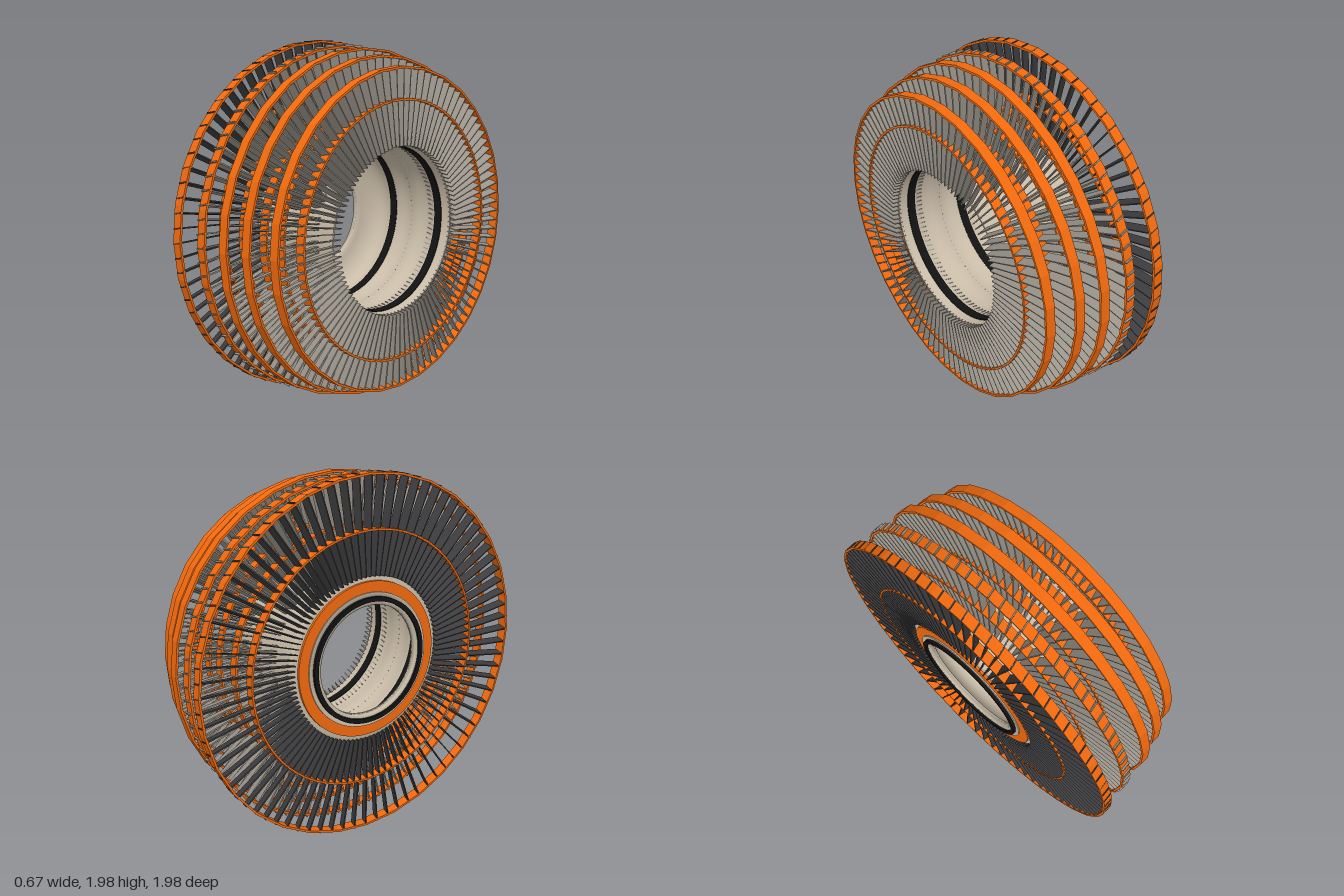
import * as THREE from 'three';
import { mergeGeometries } from 'three/addons/utils/BufferGeometryUtils.js';

const ORANGE = 0xf26a0e, BEIGE = 0xc9bca8, BLACK = 0x121212, GREY = 0x9a948a, DARK = 0x3c3c3e;

const paint = (color, flatShading = false) =>
  new THREE.MeshStandardMaterial({ color, flatShading, side: THREE.DoubleSide });

// Surface of revolution about the x axis; points are [radius, x]
function turned(points, segments) {
  const g = new THREE.LatheGeometry(points.map(p => new THREE.Vector2(p[0], p[1])), segments);
  return g.rotateZ(-Math.PI / 2);
}

// Rectangular-section ring between two radii and two x positions
const band = (ro, ri, x0, x1, segments) =>
  turned([[ro, x0], [ro, x1], [ri, x1], [ri, x0], [ro, x0]], segments);

// Evenly spaced, pitched blades reaching from radius r0 to r1
function bladeRow(x, r0, r1, count, chord, thickness, pitch) {
  const blades = [];
  for (let i = 0; i < count; i++) {
    const g = new THREE.BoxGeometry(chord, r1 - r0, thickness);
    g.rotateY(pitch);
    g.translate(x, (r0 + r1) / 2, 0);
    g.rotateX((i / count) * Math.PI * 2);
    blades.push(g);
  }
  return mergeGeometries(blades);
}

export function createModel() {
  const model = new THREE.Group();
  const rotor = new THREE.Group();
  rotor.name = 'rotor';
  rotor.position.y = 1;
  model.add(rotor);

  const add = (parent, name, geometry, material) => {
    const mesh = new THREE.Mesh(geometry, material);
    mesh.name = name;
    parent.add(mesh);
  };

  const orange = paint(ORANGE, true), beige = paint(BEIGE), black = paint(BLACK, true);
  const grey = paint(GREY, true), dark = paint(DARK, true);

  // Five blade stages: x centre, rim radius, blade tip radius, outer blade count
  const stages = [
    [-0.297, 0.99, 0.99, 80],
    [-0.13, 0.965, 0.972, 84],
    [0.033, 0.957, 0.945, 88],
    [0.163, 0.922, 0.91, 92],
    [0.307, 0.87, 0.858, 96],
  ];
  stages.forEach(([x, rim, tip, count], i) => {
    const stage = new THREE.Group();
    stage.name = 'stage' + (i + 1);
    rotor.add(stage);
    const steel = i === 0 ? dark : grey;
    add(stage, 'innerBlades', bladeRow(x, 0.455, 0.7, 100, 0.055, 0.006, 0.2), steel);
    add(stage, 'outerBlades', bladeRow(x, 0.7, tip, count, 0.052, 0.007, 0.24), steel);
    add(stage, 'midRing', band(0.705, 0.694, x - 0.027, x + 0.027, 64), orange);
    add(stage, 'outerRing', band(rim, rim - 0.012, x - 0.028, x + 0.028, 32), orange);
  });

  // Hub drum: outer skin
  add(rotor, 'hubOuter', turned([[0.47, -0.28], [0.472, -0.15], [0.468, 0], [0.472, 0.15], [0.47, 0.29]], 64), beige);
  // Inner skin with shallow ribs, closing in a curved wall around the bore
  const inner = [[0.305, -0.3]];
  for (let i = 0; i <= 8; i++) {
    const a = (i / 8) * Math.PI / 2;
    inner.push([0.305 + 0.155 * Math.sin(a), -0.19 - 0.1 * Math.cos(a)]);
  }
  for (let i = 1; i <= 24; i++) {
    const x = -0.19 + 0.48 * i / 24;
    inner.push([0.46 - 0.008 * Math.sin((i / 24) * Math.PI * 3) ** 2, x]);
  }
  add(rotor, 'hubInner', turned(inner, 64), beige);
  add(rotor, 'hubMouthRim', turned([[0.47, 0.29], [0.46, 0.29]], 64), beige);

  // Rounded back face of the hub
  add(rotor, 'hubBackFace', turned([[0.305, -0.302], [0.42, -0.302], [0.45, -0.3], [0.465, -0.292], [0.47, -0.28]], 64), beige);

  // Back trim rings
  add(rotor, 'backTrimRing', band(0.43, 0.372, -0.315, -0.3, 64), orange);
  add(rotor, 'backCollar', band(0.372, 0.345, -0.322, -0.3, 64), beige);
  add(rotor, 'backSeal', band(0.35, 0.325, -0.337, -0.3, 64), black);
  add(rotor, 'boreLip', band(0.325, 0.305, -0.325, -0.3, 64), beige);

  // Dark seals inside the drum
  for (const x of [-0.13, 0.21])
    add(rotor, 'innerSeal', band(0.462, 0.45, x - 0.025, x + 0.025, 64), black);

  return model;
}
